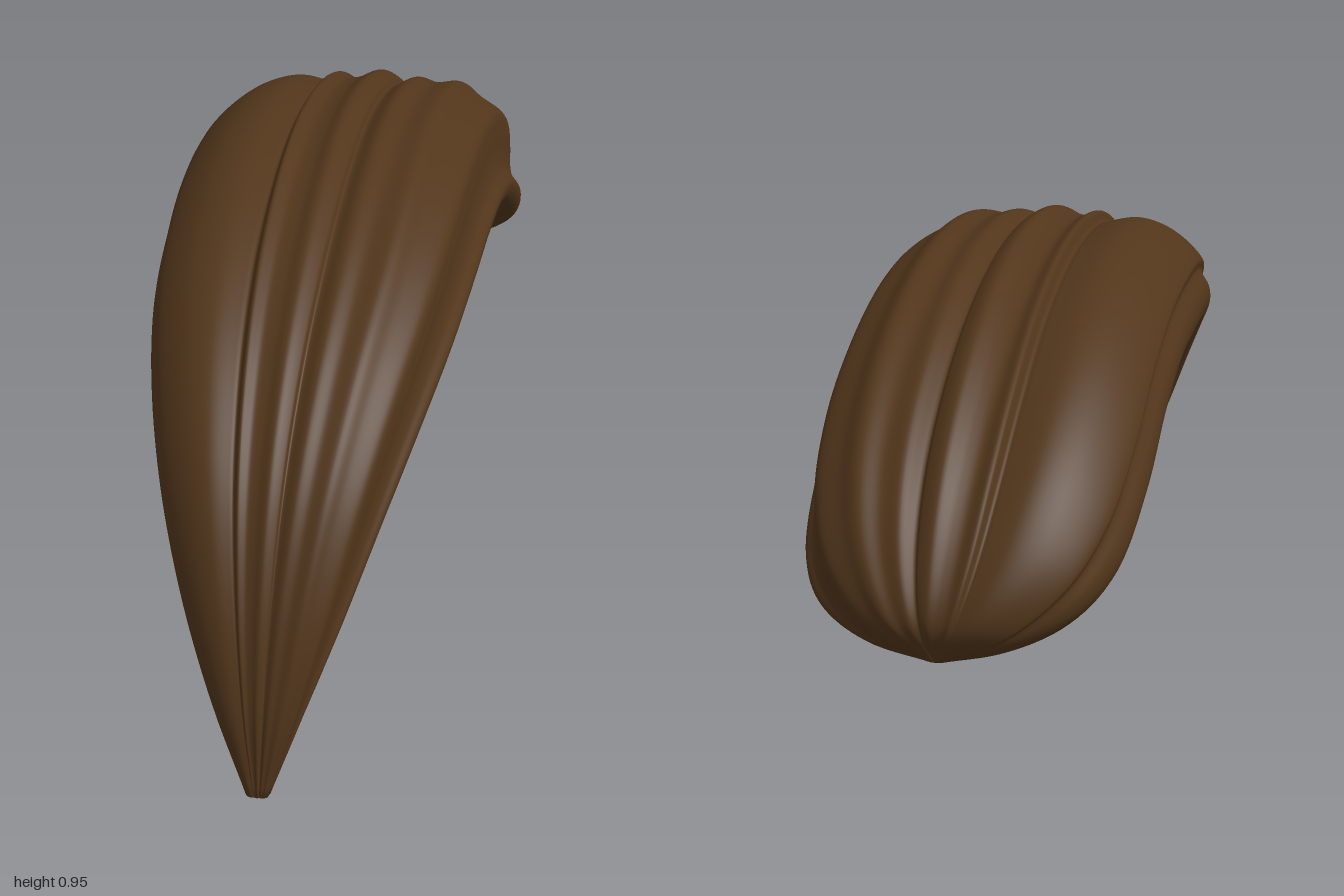
import * as THREE from 'three';

// Stations from the pointed tip to the rounded end:
// [top z, top y, bottom z, bottom y, half width]
const STATIONS = [
  [1.0, 0.0, 0.975, 0.0, 0.022],
  [0.998, 0.17, 0.935, 0.14, 0.08],
  [0.95, 0.38, 0.86, 0.27, 0.142],
  [0.855, 0.565, 0.75, 0.395, 0.197],
  [0.7, 0.72, 0.6, 0.495, 0.245],
  [0.5, 0.835, 0.41, 0.572, 0.283],
  [0.25, 0.918, 0.2, 0.615, 0.304],
  [0.0, 0.953, 0.0, 0.628, 0.312],
  [-0.25, 0.942, -0.19, 0.627, 0.315],
  [-0.5, 0.885, -0.38, 0.58, 0.315],
  [-0.7, 0.797, -0.58, 0.485, 0.312],
  [-0.85, 0.69, -0.74, 0.405, 0.29],
  [-0.95, 0.57, -0.85, 0.382, 0.235],
  [-0.998, 0.455, -0.915, 0.37, 0.135],
  [-0.965, 0.372, -0.945, 0.362, 0.01],
];

// Ridged cross-section, across -1..1 and up -1..1, running left over the top
const SECTION = [
  [-1.01, -0.25], [-1.0, -0.02], [-0.94, 0.2], [-0.95, 0.35], [-0.72, 0.76], [-0.52, 0.88],
  [-0.34, 0.82], [-0.3, 0.8], [-0.25, 0.95], [-0.16, 0.88], [-0.07, 0.91], [0.04, 1.0],
  [0.14, 0.9], [0.17, 0.82], [0.29, 0.93], [0.42, 0.87], [0.57, 0.9], [0.7, 0.73],
  [0.85, 0.54], [0.88, 0.3], [0.89, 0.0], [0.92, -0.22], [0.98, -0.38],
  [0.94, -0.6], [0.8, -0.78], [0.62, -0.88], [0.42, -0.98], [0.22, -0.91],
  [0.0, -0.97], [-0.22, -0.91], [-0.44, -0.99], [-0.64, -0.87],
  [-0.83, -0.75], [-0.95, -0.52],
];

function buildLock(rows = 110, cols = 216) {
  const top = new THREE.CatmullRomCurve3(STATIONS.map((s) => new THREE.Vector3(s[4], s[1], s[0])));
  const bottom = new THREE.CatmullRomCurve3(STATIONS.map((s) => new THREE.Vector3(s[4], s[3], s[2])));
  const section = new THREE.CatmullRomCurve3(
    SECTION.map(([x, y]) => new THREE.Vector3(x, y, 0)), true);
  const ring = Array.from({ length: cols }, (_, i) => section.getPoint(i / cols));

  const positions = [];
  const index = [];
  // The first and last rows collapse to a point and close the ends
  for (let r = 0; r <= rows + 2; r++) {
    const t = THREE.MathUtils.clamp((r - 1) / rows, 0, 1);
    const size = r === 0 || r === rows + 2 ? 0 : 1;
    const a = top.getPoint(t);
    const b = bottom.getPoint(t);
    const mid = a.clone().add(b).multiplyScalar(0.5);
    const half = a.clone().sub(b).multiplyScalar(0.5 * size);
    // The tip and the end lean slightly to the left
    const shift = 0.012 * Math.abs(1 - 2 * t);
    for (const p of ring) {
      positions.push(
        shift + p.x * a.x * size,
        Math.max(0, mid.y + half.y * p.y),
        mid.z + half.z * p.y);
    }
  }
  for (let r = 0; r < rows + 2; r++) {
    for (let c = 0; c < cols; c++) {
      const n = (c + 1) % cols;
      const p = r * cols + c, q = r * cols + n;
      index.push(p, q, p + cols, q, q + cols, p + cols);
    }
  }
  const geometry = new THREE.BufferGeometry();
  geometry.setAttribute('position', new THREE.Float32BufferAttribute(positions, 3));
  geometry.setIndex(index);
  geometry.computeVertexNormals();
  return geometry;
}

export function createModel() {
  const group = new THREE.Group();
  group.name = 'hairLock';
  const lock = new THREE.Mesh(buildLock(), new THREE.MeshStandardMaterial({ color: 0x52361b }));
  lock.name = 'curvedStrand';
  group.add(lock);
  return group;
}
